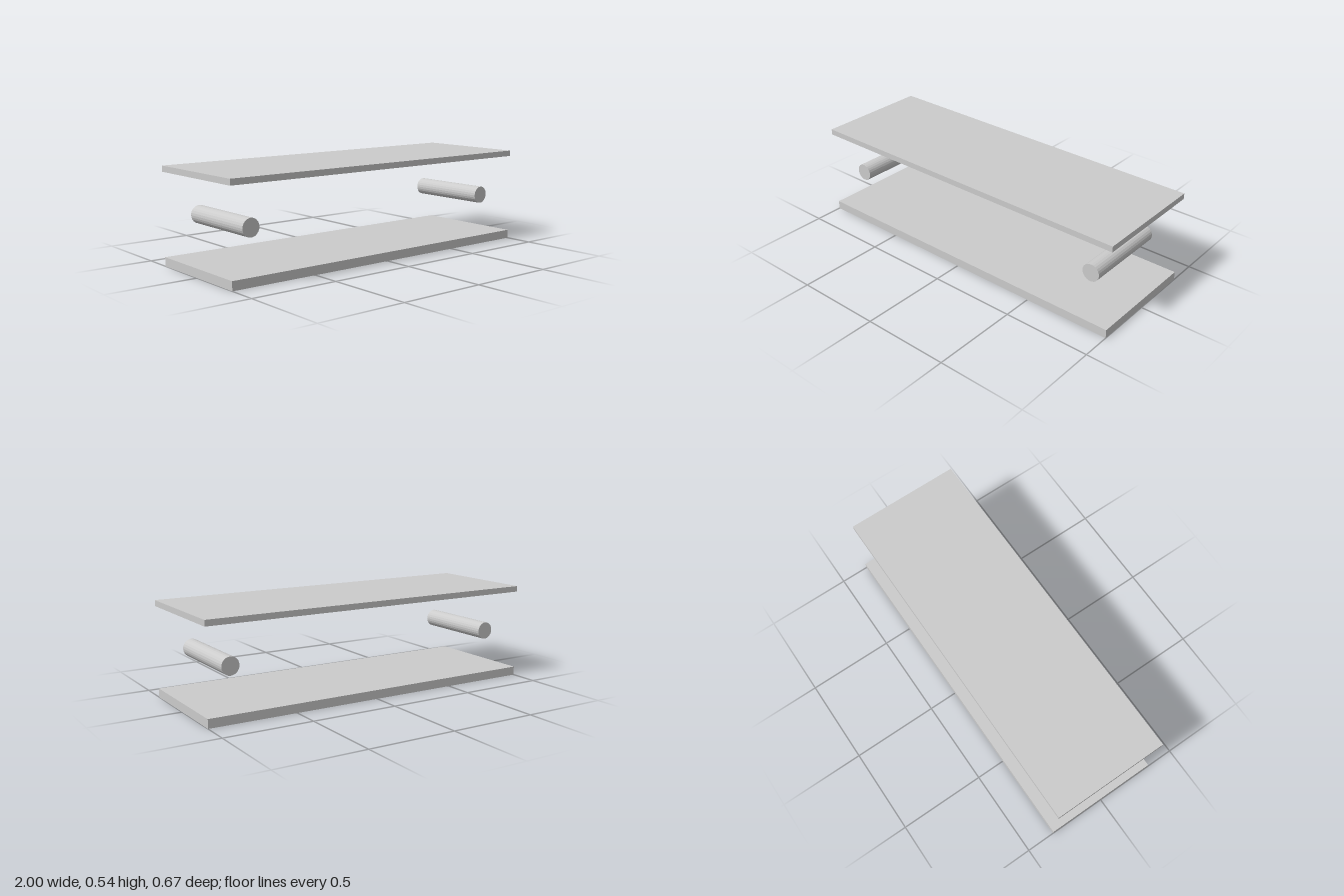
import * as THREE from 'three';

const LENGTH = 2;
const DEPTH = 0.667;

export function createModel() {
  const model = new THREE.Group();
  const material = new THREE.MeshStandardMaterial({ color: 0xcccccc, flatShading: true });

  const add = (name, geometry, x, y) => {
    const mesh = new THREE.Mesh(geometry, material);
    mesh.name = name;
    mesh.position.set(x, y, 0);
    model.add(mesh);
  };

  // Flat slab resting at height "bottom"
  const addSlab = (name, bottom, thickness) =>
    add(name, new THREE.BoxGeometry(LENGTH, thickness, DEPTH), 0, bottom + thickness / 2);

  addSlab('bottomBoard', 0, 0.05);
  addSlab('topBoard', 0.51, 0.033);

  // Faceted rollers lying front to back between the boards, one at each end
  const roller = new THREE.CylinderGeometry(0.05, 0.05, 0.5, 24).rotateX(Math.PI / 2);
  add('leftRoller', roller, 0.833, 0.277);
  add('rightRoller', roller, -0.833, 0.277);

  return model;
}
